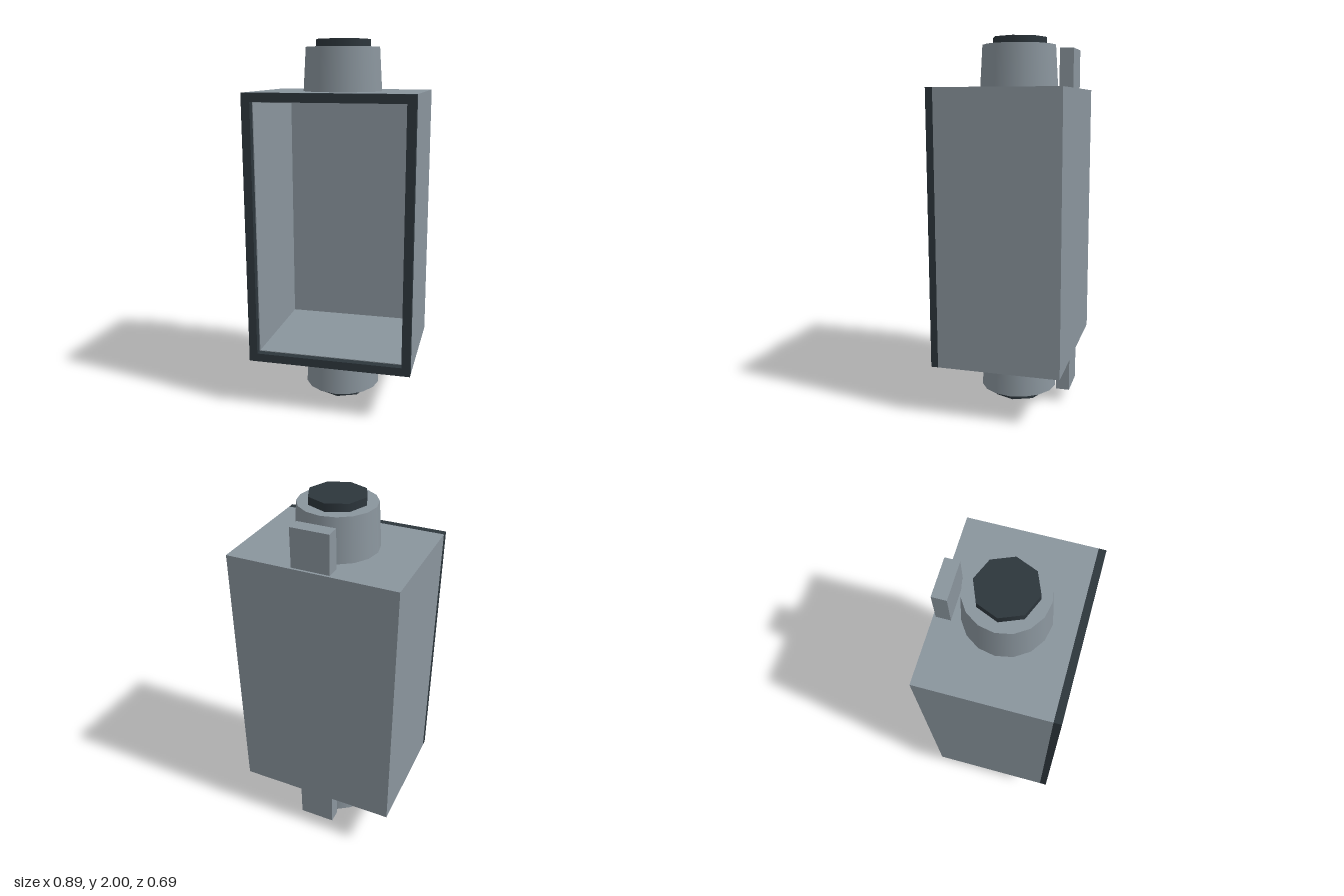
import * as THREE from 'three';

export function createModel() {
  const model = new THREE.Group();
  const metal = new THREE.MeshStandardMaterial({ color: 0x8a959d });
  metal.name = 'grey metal';
  const dark = new THREE.MeshStandardMaterial({ color: 0x2d363c });
  dark.name = 'dark trim';

  const W = 0.89, H = 1.456, midY = 1.003;

  function add(name, geometry, material, x, y, z) {
    const mesh = new THREE.Mesh(geometry, material);
    mesh.name = name;
    mesh.position.set(x, y, z);
    model.add(mesh);
  }

  function rectangle(shape, w, h) {
    shape.moveTo(-w / 2, -h / 2);
    shape.lineTo(w / 2, -h / 2);
    shape.lineTo(w / 2, h / 2);
    shape.lineTo(-w / 2, h / 2);
    shape.closePath();
    return shape;
  }

  // Rectangular tube with a wall of the given thickness
  function ring(wall, depth) {
    const shape = rectangle(new THREE.Shape(), W, H);
    shape.holes.push(rectangle(new THREE.Path(), W - 2 * wall, H - 2 * wall));
    return new THREE.ExtrudeGeometry(shape, { depth, bevelEnabled: false });
  }

  // Hollow housing, open at the front
  add('housingWalls', ring(0.05, 0.649), metal, 0, midY, -0.341);
  add('housingBack', new THREE.BoxGeometry(W, H, 0.006), metal, 0, midY, -0.344);
  add('frontFrame', ring(0.046, 0.038), dark, 0, midY, 0.308);

  // Tapered collars and octagonal plugs, above and below
  const collar = new THREE.CylinderGeometry(0.2, 0.214, 0.229, 16);
  const plug = new THREE.CylinderGeometry(0.15, 0.15, 0.05, 8);
  const tab = new THREE.BoxGeometry(0.2, 0.204, 0.073);
  add('topCollar', collar, metal, 0, 1.8455, -0.021);
  add('bottomCollar', collar, metal, 0, 0.1615, -0.021);
  add('topPlug', plug, dark, 0, 1.975, -0.021);
  add('bottomPlug', plug, dark, 0, 0.025, -0.021);

  // Rear tabs
  add('topTab', tab, metal, 0, 1.832, -0.298);
  add('bottomTab', tab, metal, 0, 0.174, -0.298);

  return model;
}
